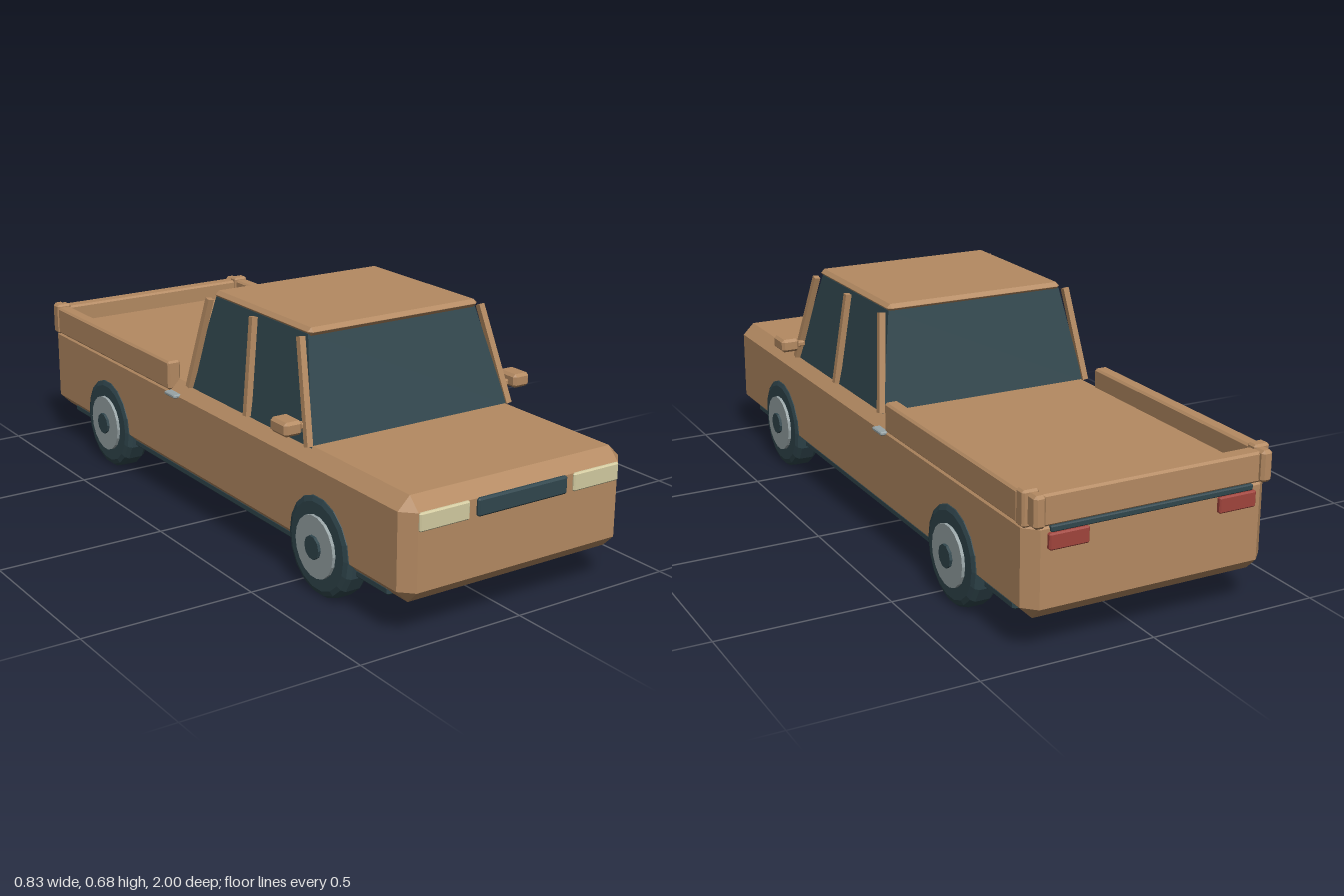
import * as THREE from 'three';
import { ConvexGeometry } from 'three/addons/geometries/ConvexGeometry.js';

const mat = (name, color) => {
  const m = new THREE.MeshStandardMaterial({ color, flatShading: true });
  m.name = name;
  return m;
};

export function createModel() {
  const model = new THREE.Group();
  model.name = 'pickupTruck';
  const paint = mat('tan paint', 0xb48a62);
  const dark = mat('dark slate', 0x30464d);
  const metal = mat('grey metal', 0x98a4a6);
  const cream = mat('cream lamp', 0xd2caa0);
  const red = mat('red lamp', 0xa0443c);

  const add = (name, geometry, material, parent = model) => {
    const mesh = new THREE.Mesh(geometry, material);
    mesh.name = name;
    parent.add(mesh);
    return mesh;
  };

  // Box given by its limits, with every edge cut at 45 degrees
  const block = (name, x, y, z, c, material) => {
    const size = [x, y, z].map(([a, b]) => (b - a) / 2);
    const mid = [x, y, z].map(([a, b]) => (a + b) / 2);
    const points = [];
    for (const sx of [-1, 1]) for (const sy of [-1, 1]) for (const sz of [-1, 1]) {
      for (let axis = 0; axis < 3; axis++) {
        const [px, py, pz] = size.map((s, i) => (i === axis ? s : s - c));
        points.push(new THREE.Vector3(sx * px, sy * py, sz * pz));
      }
    }
    const mesh = add(name, new ConvexGeometry(points), material);
    mesh.position.set(...mid);
    return mesh;
  };
  // Same block on the left and right sides
  const pair = (name, [a, b], y, z, c, material) => {
    block(name + 'Left', [a, b], y, z, c, material);
    block(name + 'Right', [-b, -a], y, z, c, material);
  };

  // Body and underside
  block('body', [-0.362, 0.362], [0.107, 0.39], [-0.98, 0.99], 0.036, paint);
  block('underbody', [-0.34, 0.34], [0.1, 0.125], [-0.875, 0.89], 0.006, dark);

  // Cabin glass tapers towards the roof
  const ring = (x, y, front, back) => [[x, front], [-x, front], [x, back], [-x, back]]
    .map(([px, pz]) => new THREE.Vector3(px, y, pz));
  add('cabinGlass', new ConvexGeometry([
    ...ring(0.332, 0.385, 0.535, -0.1), ...ring(0.28, 0.665, 0.44, -0.035)]), dark);
  block('roof', [-0.284, 0.284], [0.66, 0.683], [-0.042, 0.455], 0.011, paint);

  // Leaning window pillars, three on each side
  const pillar = (name, from, to) => {
    const dir = to.clone().sub(from);
    const mesh = add(name, new THREE.BoxGeometry(0.018, dir.length(), 0.018), paint);
    mesh.position.copy(from).add(to).multiplyScalar(0.5);
    mesh.quaternion.setFromUnitVectors(new THREE.Vector3(0, 1, 0), dir.normalize());
  };
  for (const s of [-1, 1]) {
    for (const [name, low, high] of [['front', 0.53, 0.438], ['middle', 0.222, 0.202], ['rear', -0.098, -0.034]]) {
      pillar(name + 'Pillar', new THREE.Vector3(s * 0.338, 0.388, low), new THREE.Vector3(s * 0.302, 0.662, high));
    }
  }

  // Cargo bed walls, tailgate and corner posts
  pair('bedRail', [0.322, 0.364], [0.36, 0.447], [-0.93, -0.178], 0.006, paint);
  block('tailgate', [-0.345, 0.345], [0.36, 0.444], [-0.982, -0.935], 0.006, paint);
  pair('bedPost', [0.318, 0.366], [0.358, 0.455], [-0.962, -0.925], 0.006, paint);
  pair('tailgatePost', [0.318, 0.352], [0.362, 0.449], [-0.997, -0.95], 0.008, paint);
  block('rearStrip', [-0.3, 0.3], [0.345, 0.362], [-0.987, -0.96], 0.003, dark);

  // Lamps and grille
  pair('headlight', [0.17, 0.325], [0.305, 0.355], [0.97, 0.997], 0.004, cream);
  block('grille', [-0.146, 0.146], [0.306, 0.355], [0.97, 1.0], 0.005, dark);
  pair('tailLight', [0.193, 0.307], [0.3, 0.345], [-0.993, -0.965], 0.004, red);

  // Mirrors and side handles
  pair('mirror', [0.358, 0.414], [0.427, 0.467], [0.457, 0.535], 0.008, paint);
  pair('mirrorStalk', [0.328, 0.365], [0.432, 0.448], [0.485, 0.507], 0.003, paint);
  pair('sideHandle', [0.35, 0.378], [0.35, 0.361], [-0.182, -0.122], 0.003, metal);

  // Wheels: crowned tyre, hub disc and centre cap
  const tyreProfile = [[0, -0.039], [0.122, -0.039], [0.136, -0.034], [0.144, -0.022],
    [0.144, 0.022], [0.136, 0.034], [0.122, 0.039], [0, 0.039]].map(([r, y]) => new THREE.Vector2(r, y));
  const tyre = new THREE.LatheGeometry(tyreProfile, 18);
  const hub = new THREE.CylinderGeometry(0.087, 0.087, 0.02, 18);
  const cap = new THREE.CylinderGeometry(0.033, 0.033, 0.02, 10);
  for (const s of [-1, 1]) {
    for (const [name, z] of [['front', 0.615], ['rear', -0.585]]) {
      const wheel = new THREE.Group();
      wheel.name = name + 'Wheel' + (s > 0 ? 'Left' : 'Right');
      add('tyre', tyre, dark, wheel);
      add('hub', hub, metal, wheel).position.y = 0.038;
      add('hubCap', cap, dark, wheel).position.y = 0.046;
      wheel.position.set(s * 0.33, 0.145, z);
      wheel.rotation.z = -s * Math.PI / 2;
      model.add(wheel);
    }
  }
  return model;
}
